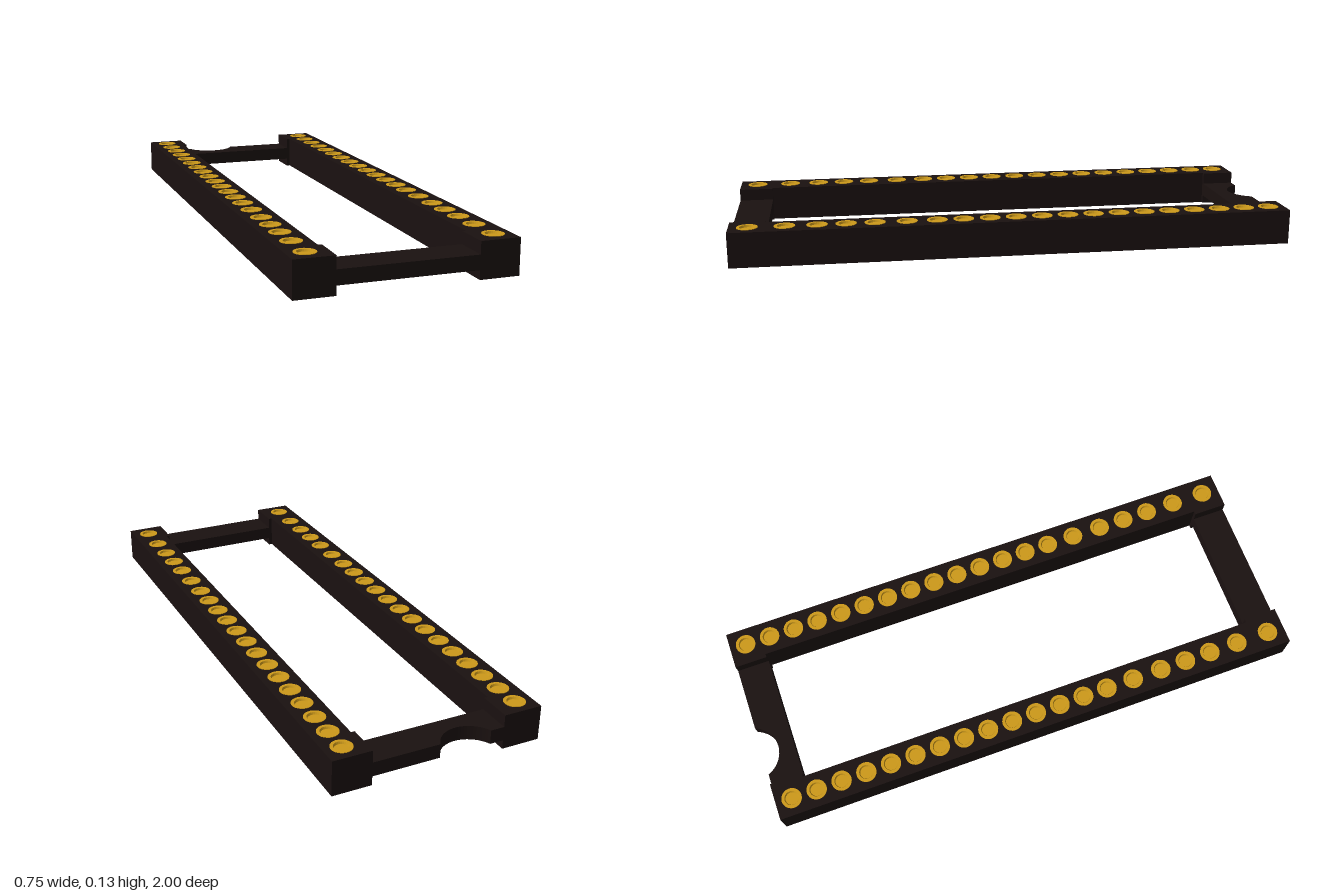
import * as THREE from 'three';

const bodyMat = new THREE.MeshStandardMaterial({ color: 0x1a1110 });
const goldMat = new THREE.MeshStandardMaterial({ color: 0xcc991a });

const RAIL_TOP = 0.125, PIN_X = 0.313, PIN_R = 0.037;
// contact positions along the rail: even pitch, then spreading toward the front
const pinZ = Array.from({ length: 14 }, (_, i) => -0.94 + i * 0.0938)
  .concat([0.385, 0.497, 0.597, 0.697, 0.808, 0.935]);

// extrude a plan outline, given as [x, z] corners, upward from y0 to y1
function slab(shape, y0, y1) {
  const geo = new THREE.ExtrudeGeometry(shape, { depth: y1 - y0, bevelEnabled: false, curveSegments: 12 });
  return geo.rotateX(-Math.PI / 2).translate(0, y0, 0);
}
const plan = pts => new THREE.Shape(pts.map(([x, z]) => new THREE.Vector2(x, -z)));

function add(group, name, geo, mat) {
  const mesh = new THREE.Mesh(geo, mat);
  mesh.name = name;
  group.add(mesh);
  return mesh;
}

// long side rail, thicker at both ends, with a hole for each contact
function railGeometry(side) {
  const shape = plan([
    [0.375, -1], [0.375, 1], [0.237, 1], [0.237, 0.875],
    [0.25, 0.875], [0.25, -0.88], [0.237, -0.88], [0.237, -1],
  ].map(([x, z]) => [x * side, z]));
  for (const z of pinZ) {
    const hole = new THREE.Path();
    hole.absarc(side * PIN_X, -z, PIN_R - 0.002, 0, Math.PI * 2, true);
    shape.holes.push(hole);
  }
  return slab(shape, 0, RAIL_TOP);
}

// rear cross bar with a round orientation notch in its outer edge
function notchedBar() {
  const cx = -0.095, r = 0.1, out = 0.037;
  const a = Math.asin(out / r);
  const shape = new THREE.Shape();
  shape.moveTo(-0.237, 0.88);
  shape.lineTo(0.237, 0.88);
  shape.lineTo(0.237, 1);
  shape.absarc(cx, 1 + out, r, -a, -Math.PI + a, true);
  shape.lineTo(-0.237, 1);
  shape.closePath();
  return slab(shape, 0.032, 0.082);
}

export function createModel() {
  const model = new THREE.Group();
  model.name = 'chipSocket';

  // contact cup: flat rim and shallow dished centre, closed underneath
  const cup = new THREE.LatheGeometry([
    [0, 0], [PIN_R - 0.002, 0], [PIN_R - 0.002, 0.125], [PIN_R, 0.125],
    [PIN_R, 0.127], [0.026, 0.127], [0.023, 0.119], [0, 0.119],
  ].map(([x, y]) => new THREE.Vector2(x, y)), 24).toNonIndexed();
  cup.computeVertexNormals();

  for (const [side, label] of [[1, 'left'], [-1, 'right']]) {
    add(model, label + 'Rail', railGeometry(side), bodyMat);
    // dark plug closing the underside of the contact holes
    const plug = add(model, label + 'RailBase', new THREE.BoxGeometry(0.1, 0.01, 1.99), bodyMat);
    plug.position.set(side * PIN_X, 0.0049, 0);
    const pins = new THREE.Group();
    pins.name = label + 'Contacts';
    for (const z of pinZ) {
      const pin = add(pins, 'contact', cup, goldMat);
      pin.scale.y = 0.117 / 0.127;
      pin.position.set(side * PIN_X, 0.01, z);
    }
    model.add(pins);
  }

  // cross bars joining the rails
  add(model, 'frontBar', slab(plan([[-0.237, 0.875], [0.237, 0.875], [0.237, 1], [-0.237, 1]]), 0.032, 0.082), bodyMat);
  add(model, 'rearBar', notchedBar(), bodyMat);
  return model;
}
